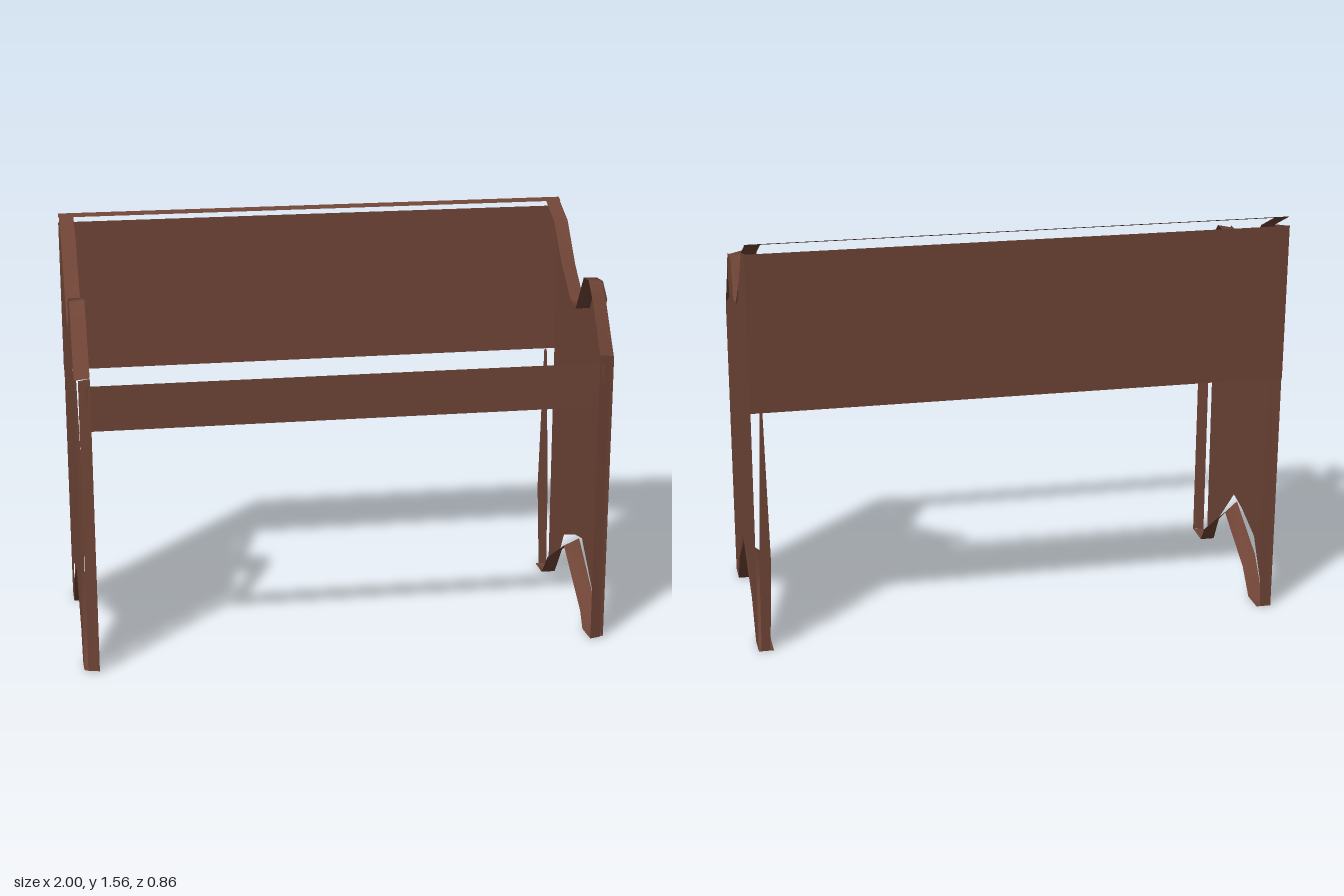
import * as THREE from 'three';

const wood = new THREE.MeshStandardMaterial({ color: 0x6f4436, side: THREE.DoubleSide });
wood.name = 'brown wood';

const INNER = 0.942, OUTER = 0.998;

function part(name, geometry) {
  const mesh = new THREE.Mesh(geometry, wood);
  mesh.name = name;
  return mesh;
}

// Thin surface stretched between two rails of [x, y, z] points
function ribbon(name, railA, railB) {
  const positions = [], index = [];
  railA.forEach((p, i) => {
    positions.push(...p, ...railB[i]);
    if (i > 0) {
      const k = 2 * i;
      index.push(k - 2, k - 1, k, k, k - 1, k + 1);
    }
  });
  const g = new THREE.BufferGeometry();
  g.setAttribute('position', new THREE.Float32BufferAttribute(positions, 3));
  g.setIndex(index);
  g.computeVertexNormals();
  return part(name, g);
}

// Edge strip between two [z, y] paths lying at x positions x0 and x1
const edge = (name, pathA, pathB, x0, x1) =>
  ribbon(name, pathA.map(([z, y]) => [x0, y, z]), pathB.map(([z, y]) => [x1, y, z]));

// Board across the full width, through the given [z, y] points
const board = (name, path, half) => edge(name, path, path, -half, half);

// Side outline as [z, y], notched behind the arm and arched between the feet
const outline = [
  [0.41, 0.01], [0.32, 0.005], [0.29, 0.06], [0.25, 0.13], [0.08, 0.29], [-0.02, 0.27],
  [-0.18, 0.21], [-0.25, 0.09], [-0.30, 0.005], [-0.40, 0.005], [-0.415, 0.94],
  [-0.43, 1.53], [-0.28, 1.50], [-0.15, 1.35], [-0.06, 1.25], [0.07, 1.23],
  [0.14, 1.36], [0.17, 1.37], [0.23, 1.375], [0.295, 1.32], [0.235, 1.20], [0.41, 1.13],
];

function createSide() {
  const side = new THREE.Group();

  // Single outer sheet, with the rims turning inward from it
  const shape = new THREE.Shape(outline.map(([z, y]) => new THREE.Vector2(z, y)));
  const sheet = new THREE.ShapeGeometry(shape);
  sheet.rotateY(-Math.PI / 2);
  sheet.translate(OUTER, 0, 0);
  side.add(part('sidePanel', sheet));

  // Rim over the arm and up to the back
  side.add(edge('armRim', [
    [0.42, 1.14], [0.29, 1.32], [0.23, 1.38], [0.165, 1.375], [0.07, 1.23],
    [-0.01, 1.25], [-0.15, 1.36], [-0.28, 1.50], [-0.43, 1.565],
  ], [
    [0.405, 1.13], [0.28, 1.31], [0.22, 1.37], [0.155, 1.37], [0.07, 1.23],
    [-0.02, 1.245], [-0.15, 1.35], [-0.28, 1.50], [-0.43, 1.565],
  ], INNER, OUTER));

  // Underside: feet and arch
  side.add(edge('archRim', [
    [0.43, 0.01], [0.32, 0.005], [0.28, 0.065], [0.02, 0.24], [-0.22, 0.10],
    [-0.30, 0.005], [-0.40, 0.005],
  ], [
    [0.41, 0.01], [0.32, 0.005], [0.26, 0.115], [0.04, 0.275], [-0.20, 0.14],
    [-0.30, 0.005], [-0.40, 0.005],
  ], INNER, OUTER));

  // Front edge of the leg, turned slightly outward
  side.add(edge('frontLegEdge',
    [[0.43, 0.01], [0.424, 0.6], [0.422, 1.14]],
    [[0.418, 0.01], [0.416, 0.6], [0.414, 1.13]], INNER, 0.984));

  // Tapering rear edge of the leg
  side.add(ribbon('rearLegEdge',
    [[0.955, 0.005, -0.40], [0.942, 0.35, -0.405], [0.955, 0.94, -0.412]],
    [[0.988, 0.005, -0.40], [0.985, 0.35, -0.405], [0.965, 0.94, -0.412]]));
  return side;
}

export function createModel() {
  const model = new THREE.Group();
  model.name = 'benchFrame';

  const left = createSide();
  left.name = 'leftSide';
  const right = createSide();
  right.name = 'rightSide';
  right.scale.x = -1;
  model.add(left, right);

  // Backrest with a thin cap above it
  model.add(board('backrest', [[-0.415, 0.94], [-0.43, 1.53]], 1));
  model.add(board('backrestCap', [[-0.40, 1.555], [-0.43, 1.565]], 1));

  // Front rail
  model.add(board('frontRail', [[0.418, 0.94], [0.421, 1.11]], 0.96));
  return model;
}
